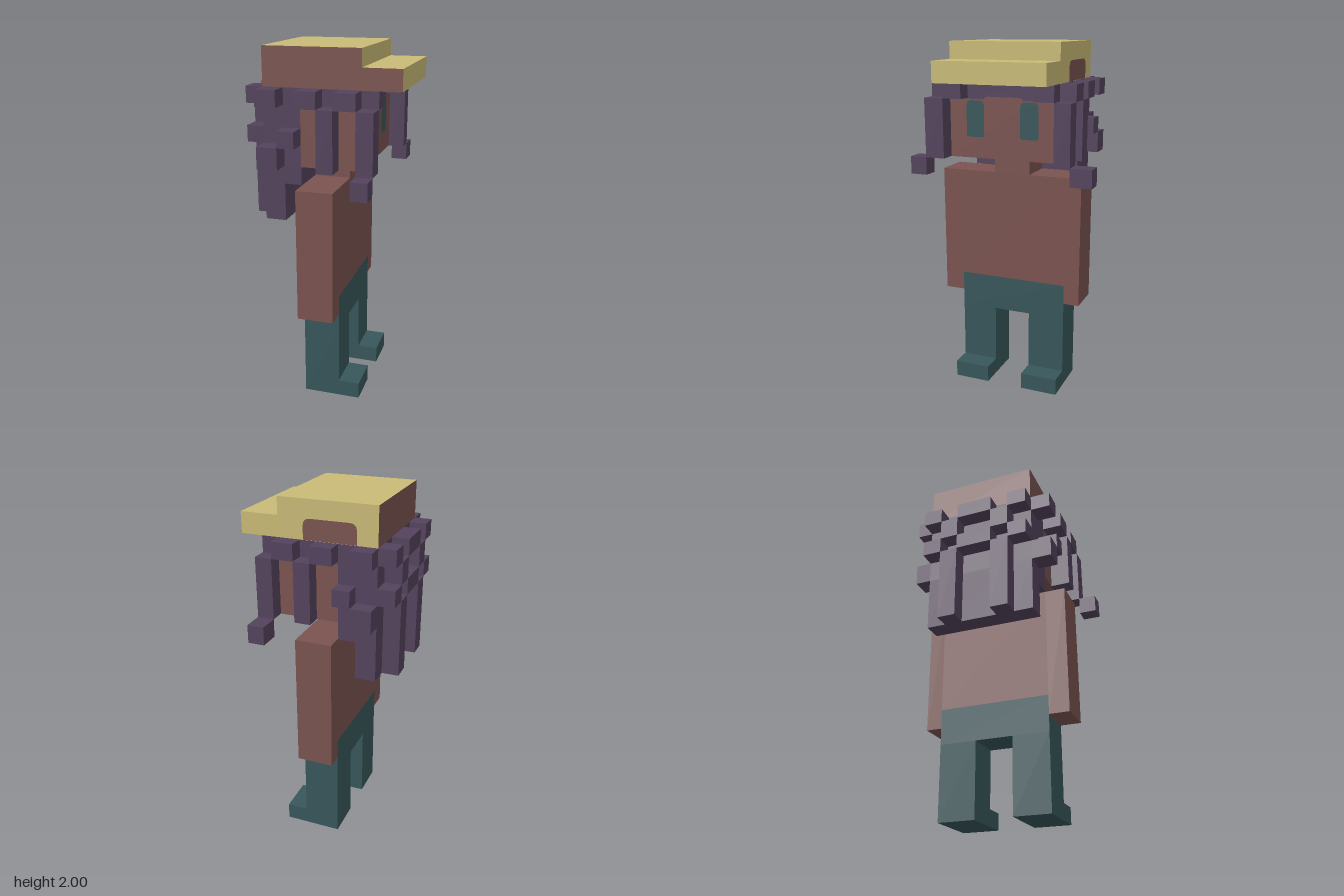
import * as THREE from 'three';

const mat = (name, color) => {
  const m = new THREE.MeshStandardMaterial({ color });
  m.name = name;
  return m;
};

export function createModel() {
  const model = new THREE.Group();
  model.name = 'blockyFigure';
  const skin = mat('brown', 0x7a5350);
  const straw = mat('straw yellow', 0xc8ba76);
  const hair = mat('dark purple', 0x53425c);
  const teal = mat('dark teal', 0x37565a);

  // Box from minimum and maximum corners; material may be an array of six
  const box = (name, x0, x1, y0, y1, z0, z1, material) => {
    const m = new THREE.Mesh(new THREE.BoxGeometry(x1 - x0, y1 - y0, z1 - z0), material);
    m.position.set((x0 + x1) / 2, (y0 + y1) / 2, (z0 + z1) / 2);
    m.name = name;
    model.add(m);
    return m;
  };

  // Flat plate with rounded corners, facing +x, +z or -z
  const plate = (name, w, h, rTop, rBottom, position, turn, material) => {
    const s = new THREE.Shape();
    const a = w / 2, b = h / 2;
    s.moveTo(-a + rBottom, -b);
    s.lineTo(a - rBottom, -b);
    s.quadraticCurveTo(a, -b, a, -b + rBottom);
    s.lineTo(a, b - rTop);
    s.quadraticCurveTo(a, b, a - rTop, b);
    s.lineTo(-a + rTop, b);
    s.quadraticCurveTo(-a, b, -a, b - rTop);
    s.lineTo(-a, -b + rBottom);
    s.quadraticCurveTo(-a, -b, -a + rBottom, -b);
    const m = new THREE.Mesh(new THREE.ShapeGeometry(s, 4), material);
    m.position.set(...position);
    m.rotation.y = turn;
    m.name = name;
    model.add(m);
  };

  // Torso with arms, neck and trousers
  box('torso', -0.115, 0.09, 0.635, 1.27, -0.32, 0.32, skin);
  box('neck', -0.115, 0.09, 1.27, 1.37, -0.105, 0.105, skin);
  box('arm', -0.115, 0.09, 0.525, 1.27, 0.32, 0.435, skin);
  box('arm', -0.115, 0.09, 0.525, 1.27, -0.41, -0.32, skin);
  box('hips', -0.115, 0.09, 0.43, 0.635, -0.32, 0.32, teal);
  for (const [a, b] of [[0.11, 0.32], [-0.32, -0.105]]) {
    box('leg', -0.115, 0.09, 0, 0.43, a, b, teal);
    box('foot', 0.09, 0.21, 0, 0.095, a, b, teal);
  }

  // Head: brown face, hair-coloured sides and back
  box('head', -0.33, 0.21, 1.37, 1.79, -0.32, 0.32, [skin, hair, hair, skin, hair, hair]);
  box('fringe', 0.21, 0.213, 1.695, 1.79, -0.32, 0.32, hair);
  plate('forehead', 0.23, 0.06, 0.025, 0, [0.2145, 1.68, 0], Math.PI / 2, skin);
  for (const z of [0.165, -0.152]) {
    plate('eye', 0.105, 0.2, 0.03, 0.015, [0.216, 1.588, z], Math.PI / 2, teal);
  }
  for (const s of [1, -1]) {
    const turn = s > 0 ? 0 : Math.PI;
    plate('ear', 0.12, 0.33, 0.03, 0, [-0.06, 1.535, s * 0.323], turn, skin);
    plate('cheek', 0.12, 0.33, 0, 0, [0.15, 1.535, s * 0.323], turn, skin);
  }

  // Hat, with differently coloured faces
  const hatFaces = [straw, skin, straw, skin, skin, straw];
  box('hatCrown', -0.33, 0.21, 1.79, 2, -0.32, 0.317, hatFaces);
  box('hatBrim', 0.21, 0.42, 1.79, 1.905, -0.32, 0.317, hatFaces);
  plate('hatPatch', 0.29, 0.11, 0.04, 0, [-0.075, 1.847, -0.323], Math.PI, skin);

  // Hair blocks on both sides of the head
  for (const s of [1, -1]) {
    const out = s > 0 ? 0.432 : 0.41;
    const block = (name, x0, x1, y0, y1, za, zb) =>
      box(name, x0, x1, y0, y1, Math.min(s * za, s * zb), Math.max(s * za, s * zb), hair);

    for (const [x0, x1] of [[-0.33, -0.215], [-0.12, 0], [0.09, 0.21]]) {
      block('hairCurl', x0, x1, 1.7, 1.79, 0.32, out);
    }
    block('sideLock', 0, 0.09, 1.37, 1.7, 0.32, out);
    block('frontLock', 0.21, 0.302, 1.37, 1.7, 0.32, out);
    block('frontLockTip', 0.21, 0.302, 1.27, 1.37, out, 0.53);
    block('frontCurl', 0.21, 0.302, 1.7, 1.79, 0.21, 0.32);
    block('hairCurl', -0.215, -0.12, 1.49, 1.58, 0.32, out);
    block('hairCurl', -0.33, -0.215, 1.37, 1.49, 0.32, out);
    block('neckHair', -0.215, -0.12, 1.27, 1.37, 0.105, 0.32);

    // Back of the head
    block('backCurl', -0.425, -0.33, 1.7, 1.79, 0.21, 0.32);
    block('backCurl', -0.425, -0.33, 1.49, 1.58, 0.21, 0.32);
    block('backCurl', -0.425, -0.33, 1.58, 1.7, 0.105, 0.21);
    block('backLock', -0.425, -0.33, 1.06, 1.49, 0.105, 0.21);
    block('innerBackLock', -0.33, -0.215, 1.06, 1.37, 0.21, 0.32);
  }
  box('backCurl', -0.425, -0.33, 1.7, 1.79, -0.105, 0.105, hair);
  box('backCurl', -0.425, -0.33, 1.49, 1.58, -0.105, 0.105, hair);
  box('backHair', -0.33, -0.215, 1.06, 1.37, -0.21, 0.21, hair);

  return model;
}
